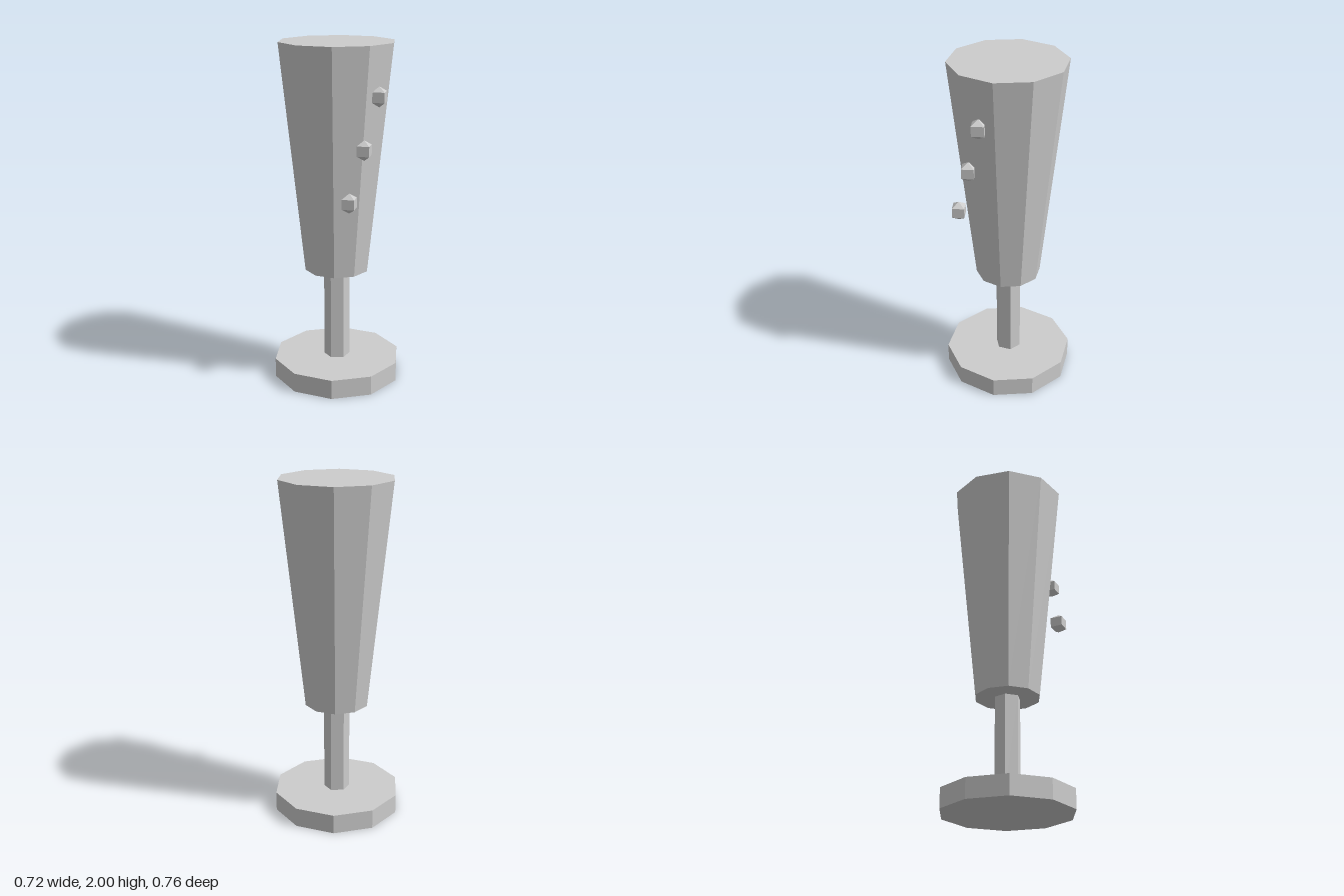
import * as THREE from 'three';

export function createModel() {
  const group = new THREE.Group();
  const grey = new THREE.MeshStandardMaterial({ color: 0xcccccc, flatShading: true });
  grey.name = 'light grey';

  // Faceted column standing between two heights
  function column(name, topRadius, bottomRadius, y0, y1, sides) {
    const mesh = new THREE.Mesh(
      new THREE.CylinderGeometry(topRadius, bottomRadius, y1 - y0, sides), grey);
    mesh.name = name;
    mesh.position.y = (y0 + y1) / 2;
    group.add(mesh);
  }

  column('base', 0.38, 0.38, 0, 0.115, 10);
  column('stem', 0.076, 0.076, 0.115, 0.67, 6);
  column('bowl', 0.333, 0.19, 0.67, 2, 10);

  // Three bubbles rising diagonally across the front
  const bubbles = new THREE.Group();
  bubbles.name = 'bubbles';
  const bubbleGeometry = new THREE.SphereGeometry(0.057, 4, 3);
  for (let i = -1; i <= 1; i++) {
    const bubble = new THREE.Mesh(bubbleGeometry, grey);
    bubble.name = 'bubble';
    bubble.position.set(i * 0.095, 1.433 + i * 0.286, 0.286);
    bubbles.add(bubble);
  }
  group.add(bubbles);

  return group;
}
